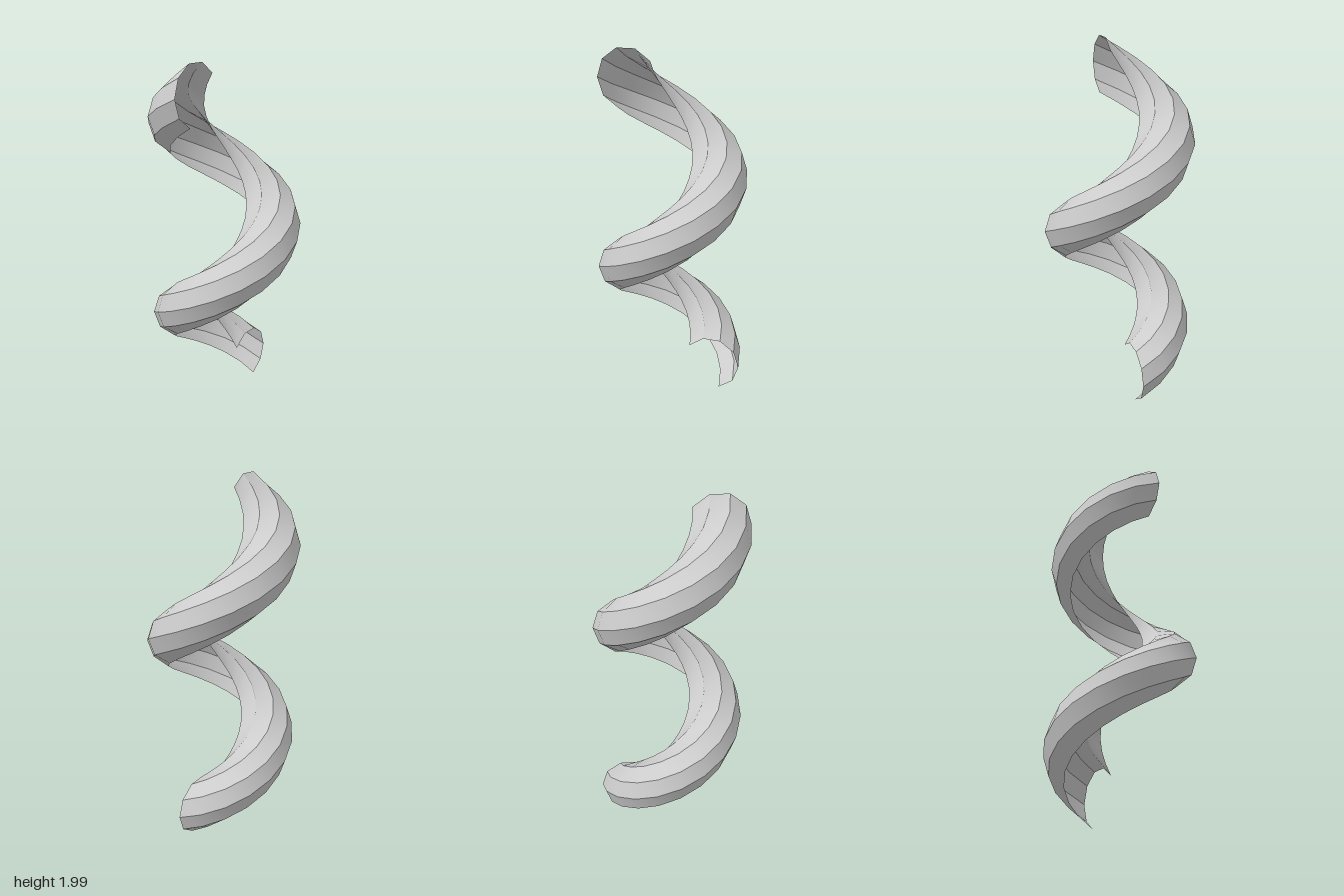
import * as THREE from 'three';

const STEPS = 28;       // segments along the coil
const TURNS = 1.5;
const COIL_R = 0.25;    // coil axis to section centre
const TUBE_R = 0.167;   // radius of the ten-sided section
const Y0 = 0.17, PITCH = 1.114;

// Point on the channel: k = step along the coil, deg = angle round the section
function point(k, deg) {
  const t = k / STEPS;
  const turn = TURNS * 2 * Math.PI * t - 0.084 * Math.sin(Math.PI * t);
  const a = THREE.MathUtils.degToRad(deg);
  const r = COIL_R + TUBE_R * Math.cos(a);
  return [
    r * Math.cos(turn),
    Y0 + PITCH * turn / (2 * Math.PI) + TUBE_R * Math.sin(a),
    -r * Math.sin(turn),
  ];
}

// One band between two section corners, smooth along its length
function band(degA, degB) {
  const pos = [], index = [];
  for (let k = 0; k <= STEPS; k++) {
    pos.push(...point(k, degA), ...point(k, degB));
    if (k < STEPS) {
      const i = 2 * k;
      index.push(i, i + 1, i + 3, i, i + 3, i + 2);
    }
  }
  const geo = new THREE.BufferGeometry();
  geo.setAttribute('position', new THREE.Float32BufferAttribute(pos, 3));
  geo.setIndex(index);
  geo.computeVertexNormals();
  return geo;
}

export function createModel() {
  const model = new THREE.Group();
  model.name = 'spiralChannel';
  const material = new THREE.MeshStandardMaterial({ color: 0xcccccc, side: THREE.DoubleSide });

  // Six of the ten sides; the section stays open towards the inside and below
  for (let i = 0; i < 6; i++) {
    const mesh = new THREE.Mesh(band(144 - 36 * i, 108 - 36 * i), material);
    mesh.name = `spiralBand${i + 1}`;
    model.add(mesh);
  }
  return model;
}
